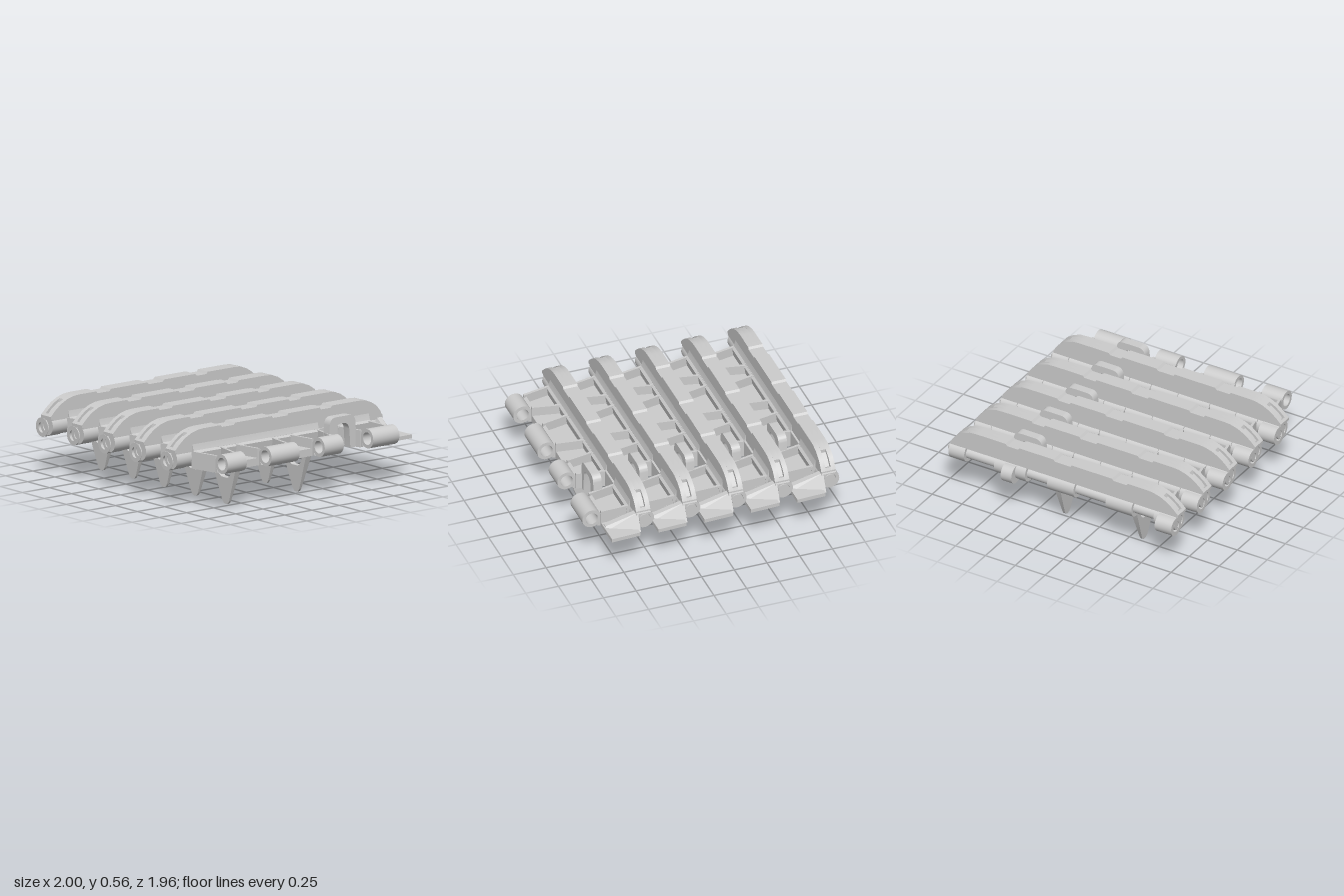
import * as THREE from 'three';
import { toCreasedNormals } from 'three/addons/utils/BufferGeometryUtils.js';
import { ConvexGeometry } from 'three/addons/geometries/ConvexGeometry.js';

const material = new THREE.MeshStandardMaterial({ color: 0xcccccc });
const PITCH = 0.354, LINKS = 5, HINGE_Y = 0.355, HINGE_Z = -0.01;

const toShape = (pts) => new THREE.Shape(pts.map(([a, b]) => new THREE.Vector2(a, b)));
const extrude = (shape, depth) =>
  new THREE.ExtrudeGeometry(shape, { depth, bevelEnabled: false, curveSegments: 14 });

// Plan outline (x, z) between two heights
function slab(pts, y0, y1) {
  return extrude(toShape(pts), y1 - y0).rotateX(Math.PI / 2).translate(0, y1, 0);
}

// Side outline (z, y) between two x positions
function across(shape, x0, x1) {
  return extrude(shape, x1 - x0).rotateY(-Math.PI / 2).translate(x1, 0, 0);
}

// Hinge barrel along x, with an optional bore
function barrel(x0, x1, z, y, radius, bore = 0) {
  const s = new THREE.Shape().absarc(z, y, radius, 0, Math.PI * 2, false);
  if (bore) s.holes.push(new THREE.Path().absarc(z, y, bore, 0, Math.PI * 2, true));
  return across(s, x0, x1);
}

// Cleat outline seen from the front; slot sinks the rounded ends
function cleatShape(slot) {
  const left = [[-1, 0.43], [-0.96, 0.47], [-0.91, 0.51], [-0.85, 0.54], [-0.79, 0.556], [-0.74, 0.56]];
  const right = [[0.68, 0.56], [0.74, 0.556], [0.8, 0.535], [0.85, 0.502], [0.885, 0.46], [0.91, 0.41]];
  if (slot) {
    left.splice(1, 3, [-0.985, 0.445], [-0.965, 0.435], [-0.93, 0.472], [-0.87, 0.51], [-0.86, 0.537]);
    right.splice(2, 3, [0.79, 0.54], [0.79, 0.515], [0.83, 0.485], [0.865, 0.44], [0.89, 0.45]);
  }
  const top = [];
  for (const [a, b] of [[-0.57, -0.46], [-0.1, 0.03], [0.34, 0.43]]) {
    top.push([a - 0.012, 0.56], [a, 0.545], [b, 0.545], [b + 0.012, 0.56]);
  }
  return toShape([[-1, 0.41], ...left, ...top, ...right]);
}

// Guide horn with a window, thinning towards its tip
function hornGeometry(x) {
  const s = new THREE.Shape();
  s.moveTo(0.005, 0.285);
  s.lineTo(0.1, 0.03);
  s.quadraticCurveTo(0.115, 0, 0.14, 0);
  s.quadraticCurveTo(0.165, 0, 0.18, 0.03);
  s.lineTo(0.275, 0.285);
  s.closePath();
  const w = new THREE.Path();
  w.moveTo(0.05, 0.278);
  w.lineTo(0.23, 0.278);
  w.quadraticCurveTo(0.205, 0.2, 0.165, 0.198);
  w.lineTo(0.115, 0.198);
  w.quadraticCurveTo(0.075, 0.2, 0.05, 0.278);
  s.holes.push(w);
  const g = across(s, -0.025, 0.025);
  const p = g.attributes.position;
  for (let i = 0; i < p.count; i++) p.setX(i, p.getX(i) * (0.3 + 0.7 * p.getY(i) / 0.28));
  return g.translate(x, 0, 0);
}

function createLink() {
  const link = new THREE.Group();
  const add = (name, geometry, crease = 0.5) => {
    const mesh = new THREE.Mesh(toCreasedNormals(geometry, crease), material);
    mesh.name = name;
    link.add(mesh);
  };

  // Raised cleat: two cheeks and a slotted core
  for (const [z0, z1, slot] of [[-0.055, -0.02, false], [-0.02, 0.02, true], [0.02, 0.055, false]]) {
    add(slot ? 'cleatCore' : 'cleatCheek', extrude(cleatShape(slot), z1 - z0).translate(0, 0, z0));
  }

  // Shoe plates either side of the sprocket opening, with filleted webs against the cleat
  const web = toShape([[0.05, 0.28], [0.068, 0.28], [0.085, 0.395], [0.068, 0.41], [0.058, 0.44], [0.05, 0.48]]);
  for (const [b0, b1, f0, f1] of [[-0.84, 0.31, -0.8, 0.26], [0.48, 0.78, 0.53, 0.775]]) {
    add('shoePlate', slab([[b0, 0.055], [b1, 0.055], [f1, 0.275], [f0, 0.275]], 0.28, 0.335));
    add('plateWeb', across(web, b0, b1));
  }

  // Splayed stiffening ribs: x at the cleat, x at the front edge
  const ribs = [[-0.84, -0.795], [-0.585, -0.63], [-0.455, -0.41], [-0.115, -0.145],
    [0.045, 0.085], [0.305, 0.262], [0.485, 0.53], [0.765, 0.77]];
  for (const [b, f] of ribs) {
    const t = 0.01;
    add('rib', slab([[b - t, 0.055], [b + t, 0.055], [f + t, 0.275], [f - t, 0.275]], 0.28, 0.405));
  }

  // Front hinge barrels interleave with the rear ones of the next link
  const frontBarrels = [[-0.805, -0.63], [-0.405, -0.145], [0.085, 0.26], [0.53, 0.77]];
  for (const [a, b] of frontBarrels) {
    add('frontBarrel', barrel(a, b, HINGE_Z + PITCH, HINGE_Y, 0.071, 0.046));
    add('barrelRoot', across(toShape([[0.255, 0.28], [0.3, 0.285], [0.278, 0.33], [0.278, 0.38], [0.255, 0.39]]), a, b));
  }
  const rearBarrels = [[-0.985, -0.81], [-0.625, -0.41], [-0.14, 0.08], [0.265, 0.525], [0.775, 0.905]];
  for (const [a, b] of rearBarrels) {
    add('rearBarrel', barrel(a, b, HINGE_Z, HINGE_Y, 0.071, 0.046));
    add('barrelNeck', across(toShape([[-0.055, 0.4], [0.055, 0.4], [0.055, 0.43], [-0.055, 0.43]]), a, b));
    if (a > -0.9 && b < 0.7) {
      add('barrelBridge', across(toShape([[0.04, 0.285], [0.07, 0.28], [0.07, 0.41], [0.04, 0.41]]), a, b));
    }
  }
  add('hingePin', barrel(-0.98, 0.91, HINGE_Z, HINGE_Y, 0.043));

  // Offset lugs behind the cleat
  add('outerLug', barrel(-0.988, -0.85, -0.06, 0.335, 0.07, 0.04));
  add('centreLug', barrel(0.35, 0.44, -0.06, 0.335, 0.07));

  // Hoop standing in the sprocket opening
  const hoop = new THREE.Shape();
  hoop.moveTo(0.265, 0.28);
  hoop.lineTo(0.275, 0.46);
  hoop.quadraticCurveTo(0.28, 0.52, 0.33, 0.52);
  hoop.lineTo(0.455, 0.52);
  hoop.quadraticCurveTo(0.508, 0.52, 0.512, 0.46);
  hoop.lineTo(0.522, 0.28);
  hoop.lineTo(0.465, 0.28);
  hoop.lineTo(0.455, 0.42);
  hoop.quadraticCurveTo(0.445, 0.47, 0.39, 0.47);
  hoop.quadraticCurveTo(0.33, 0.47, 0.322, 0.42);
  hoop.lineTo(0.315, 0.28);
  add('hoop', extrude(hoop, 0.065).translate(0, 0, 0.17));

  // Side shelf with a sloping gusset
  add('shelf', slab([[0.77, 0.055], [0.99, 0.055], [1, 0.275], [0.77, 0.275]], 0.28, 0.308));
  const gusset = [[0.8, 0.29, 0.04], [0.965, 0.29, 0.04], [0.86, 0.42, 0.04], [0.9, 0.42, 0.04],
    [0.9, 0.4, 0.06], [0.8, 0.29, 0.265], [0.865, 0.29, 0.265], [0.8, 0.315, 0.265], [0.84, 0.315, 0.265]];
  add('gusset', new ConvexGeometry(gusset.map((p) => new THREE.Vector3(...p))), 0.1);

  // Guide horns
  for (const x of [-0.595, 0.05]) add('guideHorn', hornGeometry(x));
  return link;
}

export function createModel() {
  const model = new THREE.Group();
  model.name = 'trackSection';
  const link = createLink();
  for (let i = 0; i < LINKS; i++) {
    const copy = link.clone();
    copy.name = 'trackLink' + (i + 1);
    copy.position.z = 0.565 - i * PITCH;
    model.add(copy);
  }
  return model;
}
